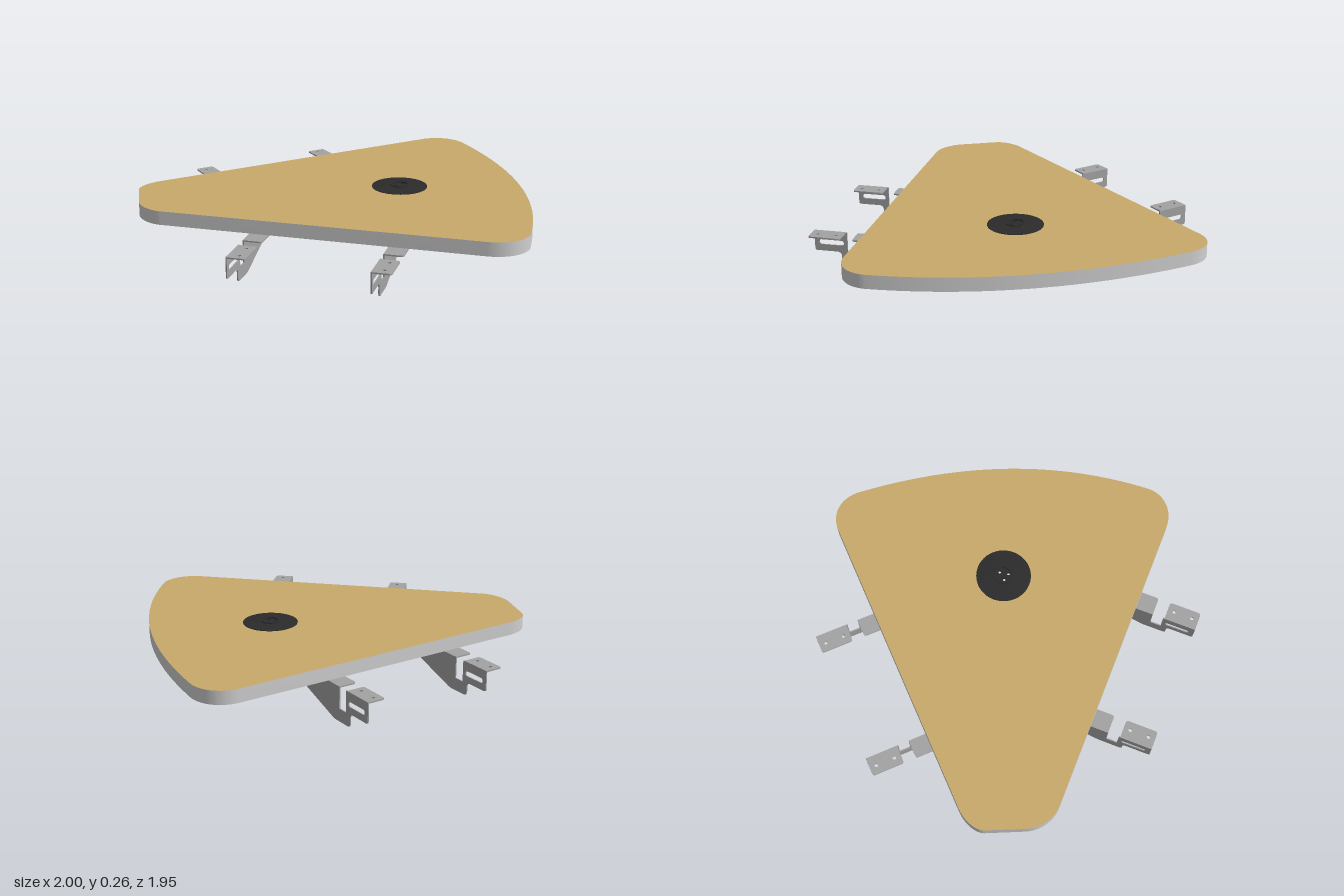
import * as THREE from 'three';
import { toCreasedNormals } from 'three/addons/utils/BufferGeometryUtils.js';

const mat = (name, color) => {
  const m = new THREE.MeshStandardMaterial({ color });
  m.name = name;
  return m;
};

function mesh(name, geometry, material) {
  const m = new THREE.Mesh(geometry, material);
  m.name = name;
  return m;
}

// Extrudes a shape drawn in (x, -z) upward from height y
function slab(shape, y, height, curveSegments = 16) {
  const g = new THREE.ExtrudeGeometry(shape, { depth: height, bevelEnabled: false, curveSegments });
  g.rotateX(-Math.PI / 2).translate(0, y, 0);
  return toCreasedNormals(g, 0.5);
}

function circle(x, y, r, Type = THREE.Path) {
  return new Type().absarc(x, y, r, 0, Math.PI * 2, false);
}

const GROMMET = { x: 0.255, z: -0.037 };

// Rounded triangular top with a cable hole
function tabletopShape() {
  const s = new THREE.Shape();
  const corner = (cx, cz, ex, ez) => {
    const k = 0.56, p = s.currentPoint;
    s.bezierCurveTo(p.x + k * (cx - p.x), p.y + k * (-cz - p.y),
      ex + k * (cx - ex), -ez + k * (ez - cz), ex, -ez);
  };
  s.moveTo(-0.76, -0.65);
  s.lineTo(0.82, -0.65);
  corner(1.0, 0.65, 0.995, 0.487);
  s.quadraticCurveTo(0.962, 0.257, 0.417, 0.914);
  corner(0.302, -1.052, 0.18, -0.93);
  s.lineTo(-0.947, -0.203);
  corner(-1.032, 0.288, -1.0, 0.36);
  s.lineTo(-0.92, -0.54);
  corner(-0.871, 0.65, -0.76, 0.65);
  s.holes.push(circle(GROMMET.x, -GROMMET.z, 0.09));
  return s;
}

// Flat tab with its two free corners rounded; d is the distance from the outer end
function flange(d0, d1, width, holes) {
  const r = 0.015, s = new THREE.Shape();
  s.moveTo(0, d0);
  s.lineTo(width - r, d0);
  s.quadraticCurveTo(width, d0, width, d0 + r);
  s.lineTo(width, d1 - r);
  s.quadraticCurveTo(width, d1, width - r, d1);
  s.lineTo(0, d1);
  s.closePath();
  for (const d of holes) s.holes.push(circle(0.053, d, 0.009));
  return slab(s, 0.168, 0.007, 8);
}

// Upright bracket web with notch, slot and tapered inner end
function webGeometry() {
  const t = 0.006, s = new THREE.Shape();
  s.moveTo(0, 0.174);
  s.lineTo(0, 0.08);
  s.quadraticCurveTo(0, 0.068, -0.012, 0.068);
  s.lineTo(-0.115, 0.068);
  s.quadraticCurveTo(-0.14, 0.068, -0.14, 0.043);
  s.lineTo(-0.14, 0.02);
  s.quadraticCurveTo(-0.14, 0, -0.16, 0);
  s.lineTo(-0.25, 0);
  s.quadraticCurveTo(-0.27, 0, -0.285, 0.006);
  s.lineTo(-0.645, 0.13);
  s.quadraticCurveTo(-0.655, 0.134, -0.655, 0.144);
  s.lineTo(-0.655, 0.174);
  s.lineTo(-0.228, 0.174);
  s.lineTo(-0.228, 0.064);
  s.lineTo(-0.172, 0.064);
  s.lineTo(-0.172, 0.174);
  s.closePath();
  const slot = new THREE.Path();
  slot.absarc(-0.037, 0.115, 0.013, -Math.PI / 2, Math.PI / 2, false);
  slot.absarc(-0.14, 0.115, 0.013, Math.PI / 2, Math.PI * 1.5, false);
  slot.closePath();
  s.holes.push(slot);
  const g = new THREE.ExtrudeGeometry(s, { depth: t, bevelEnabled: false, curveSegments: 8 });
  g.rotateY(-Math.PI / 2).translate(t, 0, 0);
  return toCreasedNormals(g, 0.5);
}

export function createModel() {
  const group = new THREE.Group();
  group.name = 'cornerTable';
  const wood = mat('wood', 0xc8a96a);
  const edge = mat('edgeBand', 0xd0d0d0);
  const steel = mat('steel', 0xa3a3a3);
  const black = mat('blackPlastic', 0x2b2b2b);

  // Top: wooden faces and a pale edge band
  group.add(mesh('tabletop', slab(tabletopShape(), 0.176, 0.069, 32), [wood, edge]));

  // Cable grommet: sloped rim, raised collar, centre with three pin holes
  const grommet = new THREE.Group();
  grommet.name = 'grommet';
  grommet.position.set(GROMMET.x, 0, GROMMET.z);
  const rim = [[0.045, 0.2455], [0.14, 0.2455], [0.14, 0.248], [0.045, 0.254], [0.045, 0.2455]]
    .map(([r, y]) => new THREE.Vector2(r, y));
  grommet.add(mesh('grommetRim', toCreasedNormals(new THREE.LatheGeometry(rim, 48), 0.5), black));
  const collar = circle(0, 0, 0.05, THREE.Shape);
  collar.holes.push(circle(0, 0, 0.04));
  grommet.add(mesh('grommetCollar', slab(collar, 0.246, 0.012), black));
  const centre = circle(0, 0, 0.042, THREE.Shape);
  for (const [x, z] of [[0.01, -0.025], [-0.02, 0.012], [0.017, 0.02]]) {
    centre.holes.push(circle(x, -z, 0.008));
  }
  grommet.add(mesh('grommetCentre', slab(centre, 0.238, 0.014), black));
  group.add(grommet);

  // Four identical brackets, placed by their outer corner
  const web = webGeometry();
  const outerTab = flange(0, 0.165, 0.095, [0.035, 0.13]);
  const innerTab = flange(0.228, 0.655, 0.095, []);
  const places = [
    ['frontLeftBracket', 0.364, 0.97, 0],
    ['frontRightBracket', -0.31, 0.97, 0],
    ['backLeftBracket', -0.382, -0.813, -Math.PI * 0.75],
    ['backRightBracket', -0.872, -0.322, -Math.PI * 0.75],
  ];
  for (const [name, x, z, turn] of places) {
    const bracket = new THREE.Group();
    bracket.name = name;
    bracket.add(mesh('web', web, steel), mesh('outerTab', outerTab, steel), mesh('innerTab', innerTab, steel));
    bracket.position.set(x, 0, z);
    bracket.rotation.y = turn;
    group.add(bracket);
  }
  return group;
}
